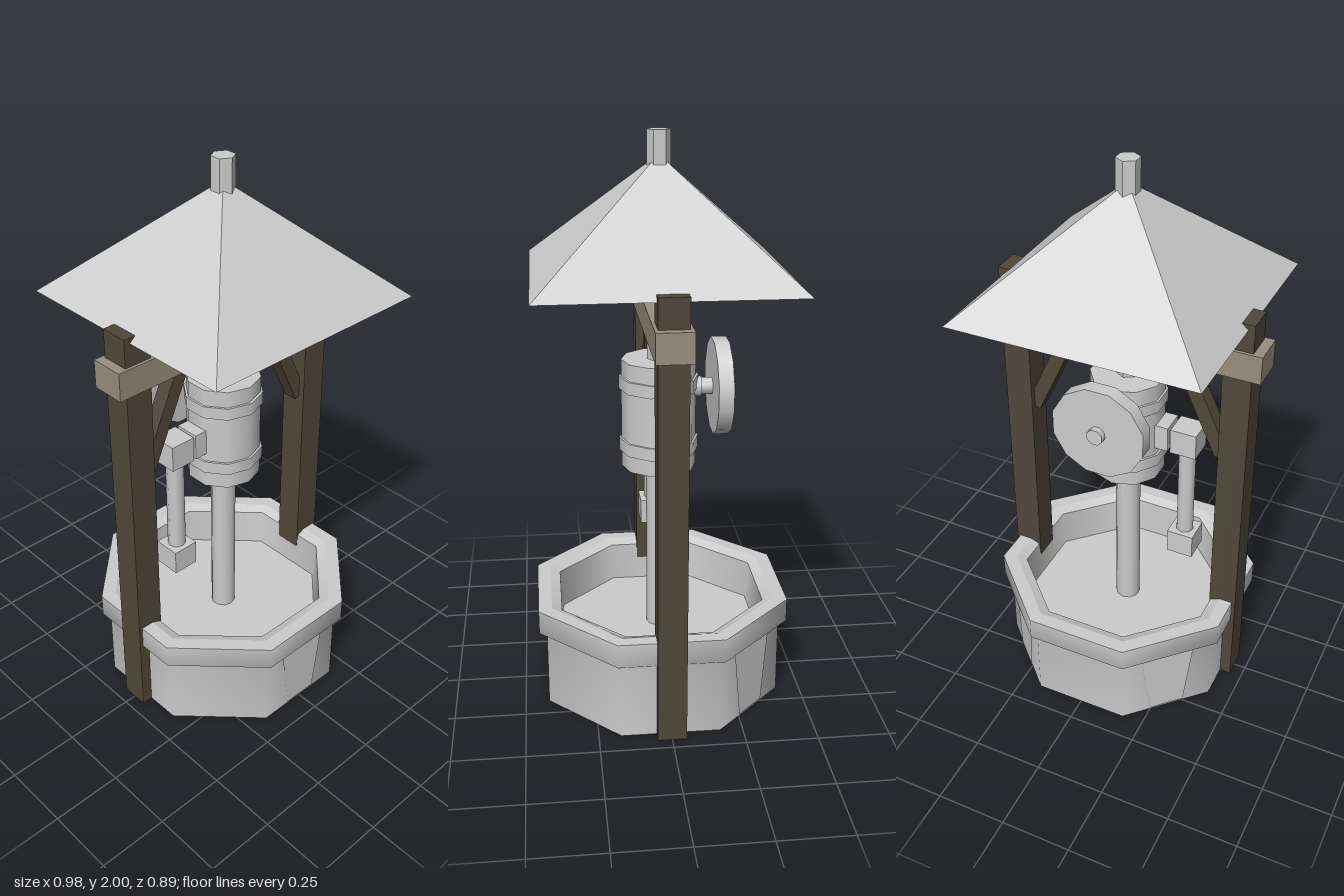
import * as THREE from 'three';

export function createModel() {
  const model = new THREE.Group();
  const mat = (name, color) => {
    const m = new THREE.MeshStandardMaterial({ color });
    m.name = name;
    return m;
  };
  const grey = mat('grey metal and stone', 0xcccccc);
  grey.side = THREE.DoubleSide; // the basin is an open shell
  const darkWood = mat('dark wood', 0x51483b);
  const lightWood = mat('light wood', 0x998f7f);

  const add = (name, geo, material, x = 0, y = 0, z = 0) => {
    const mesh = new THREE.Mesh(geo, material);
    mesh.name = name;
    mesh.position.set(x, y, z);
    model.add(mesh);
    return mesh;
  };
  const box = (name, w, y0, y1, d, material, x = 0, z = 0) =>
    add(name, new THREE.BoxGeometry(w, y1 - y0, d), material, x, (y0 + y1) / 2, z);
  const column = (name, r, y0, y1, sides, material, x = 0) =>
    add(name, new THREE.CylinderGeometry(r, r, y1 - y0, sides), material, x, (y0 + y1) / 2, 0);

  // Octagonal basin, open below: each strip of (apothem, height) is smooth around
  const toCorner = 1 / Math.cos(Math.PI / 8);
  const ring = (name, profile) => add(name, new THREE.LatheGeometry(
    profile.map(([a, y]) => new THREE.Vector2(a * toCorner, y)), 8, Math.PI / 8), grey);
  ring('basinWall', [[0.416, 0], [0.416, 0.265], [0.443, 0.285], [0.443, 0.37]]);
  ring('basinRimTop', [[0.443, 0.37], [0.395, 0.37]]);
  ring('basinRimBevel', [[0.395, 0.37], [0.36, 0.355]]);
  ring('basinInnerWall', [[0.36, 0.355], [0.35, 0.215]]);
  ring('basinFloor', [[0.35, 0.215], [0, 0.215]]);

  // Tapered flat panels on three basin faces
  const panelShape = new THREE.Shape([[-0.065, 0.01], [0.065, 0.01], [0.1, 0.265], [-0.1, 0.265]]
    .map(([x, y]) => new THREE.Vector2(x, y)));
  for (const a of [0, Math.PI * 0.75, -Math.PI * 0.75]) {
    add('basinPanel', new THREE.ShapeGeometry(panelShape).translate(0, 0, 0.42), grey)
      .rotation.y = a;
  }

  // Timber frame: posts and braces mirrored, one beam across
  for (const s of [-1, 1]) {
    box('post', 0.1, 0, 1.55, 0.1, darkWood, s * 0.406);
    const brace = box('brace', 0.052, 0.985, 1.375, 0.055, darkWood, s * 0.28);
    brace.rotation.z = s * Math.atan2(0.165, 0.36);
  }
  box('crossbeam', 0.98, 1.35, 1.45, 0.122, lightWood);

  // Pyramid roof with a dark underside
  const half = 0.434;
  const roofGeo = new THREE.CylinderGeometry(0, half * Math.SQRT2, 0.39, 4, 1, true, Math.PI / 4).toNonIndexed();
  roofGeo.computeVertexNormals();
  add('roof', roofGeo, grey, 0, 1.725, 0);
  add('roofUnderside', new THREE.PlaneGeometry(half * 2, half * 2), darkWood, 0, 1.529, 0)
    .rotation.x = Math.PI / 2;

  // Hexagonal rods: finial above the roof, pump rod below the beam
  const hexRod = (name, y0, y1) => {
    const geo = new THREE.CylinderGeometry(0.04, 0.04, y1 - y0, 6).toNonIndexed();
    geo.computeVertexNormals();
    add(name, geo, grey, 0, (y0 + y1) / 2, 0);
  };
  hexRod('finial', 1.86, 2);
  hexRod('pumpRod', 1.22, 1.36);

  // Pump barrel with two bands, on a riser pipe
  column('riserPipe', 0.045, 0.215, 0.85, 10, grey);
  column('pumpBarrel', 0.131, 0.84, 1.23, 10, [grey, grey, darkWood]);
  column('upperBand', 0.139, 1.125, 1.17, 10, grey);
  column('lowerBand', 0.139, 0.9, 0.945, 10, grey);

  // Side outlet and its drop pipe
  box('outletFlange', 0.06, 0.975, 1.07, 0.09, grey, -0.14);
  box('outletNeck', 0.04, 0.995, 1.05, 0.055, grey, -0.175);
  box('outletElbow', 0.095, 0.975, 1.07, 0.095, grey, -0.228);
  column('dropPipe', 0.032, 0.61, 0.98, 8, grey, -0.228);
  box('dropPipeEnd', 0.097, 0.53, 0.62, 0.097, grey, -0.228);

  // Rear wheel on its axle
  const disc = (name, r, z0, z1, sides) => add(name,
    new THREE.CylinderGeometry(r, r, z1 - z0, sides).rotateY(Math.PI / sides).rotateX(Math.PI / 2),
    grey, 0, 1.125, (z0 + z1) / 2);
  disc('wheel', 0.171, -0.24, -0.187, 12);
  disc('axle', 0.03, -0.263, -0.1, 8);
  disc('axleCollar', 0.036, -0.148, -0.1, 8);

  return model;
}
